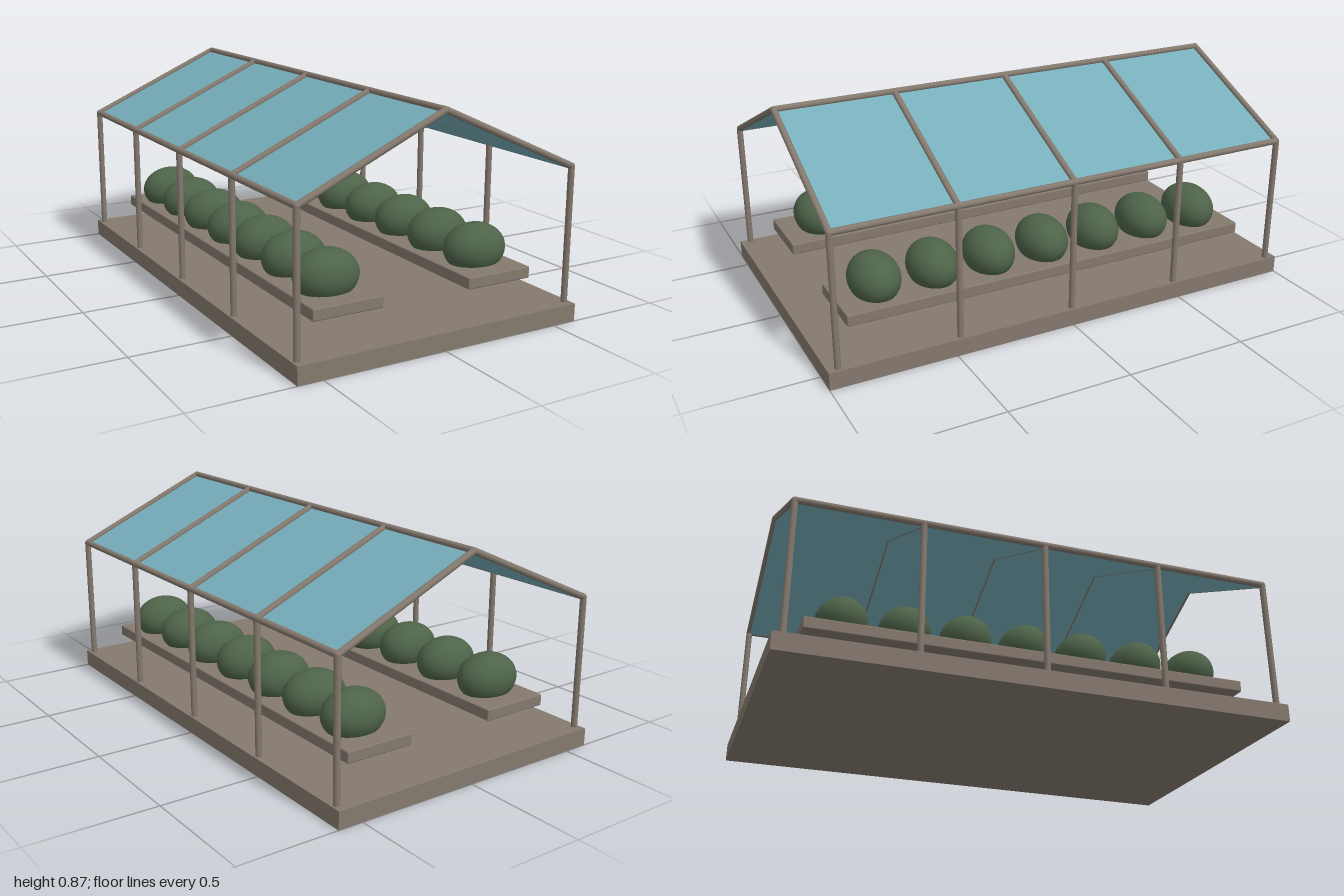
import * as THREE from 'three';
import { RoundedBoxGeometry } from 'three/addons/geometries/RoundedBoxGeometry.js';

const frameMat = new THREE.MeshStandardMaterial({ color: 0x84796e });
frameMat.name = 'weathered wood';
const glassMat = new THREE.MeshStandardMaterial({ color: 0x76aebb });
glassMat.name = 'blue glass';
const leafMat = new THREE.MeshStandardMaterial({ color: 0x4e6349 });
leafMat.name = 'leaf green';

const EAVE_X = 0.58, EAVE_Y = 0.6, RIDGE_Y = 0.86, BASE_H = 0.07;
const END_Z = 0.96, R = 0.0125;
const BAYS = [-0.96, -0.48, 0, 0.48, 0.96];

export function createModel() {
  const model = new THREE.Group();
  model.name = 'greenhouse';

  const add = (name, geometry, material, x = 0, y = 0, z = 0) => {
    const mesh = new THREE.Mesh(geometry, material);
    mesh.name = name;
    mesh.position.set(x, y, z);
    model.add(mesh);
    return mesh;
  };

  // Round bar between two points
  const bar = (name, a, b) => {
    const from = new THREE.Vector3(...a), to = new THREE.Vector3(...b);
    const dir = to.clone().sub(from);
    const mid = from.clone().add(to).multiplyScalar(0.5);
    const mesh = add(name, new THREE.CylinderGeometry(R, R, dir.length(), 12), frameMat, mid.x, mid.y, mid.z);
    mesh.quaternion.setFromUnitVectors(new THREE.Vector3(0, 1, 0), dir.normalize());
  };
  const joint = (x, y, z) => add('joint', new THREE.SphereGeometry(R, 12, 8), frameMat, x, y, z);

  // Floor slab and ridge
  add('base', new THREE.BoxGeometry(1.2, BASE_H, 2), frameMat, 0, BASE_H / 2, 0);
  bar('ridgeBeam', [0, RIDGE_Y, -END_Z], [0, RIDGE_Y, END_Z]);
  for (const z of BAYS) joint(0, RIDGE_Y, z);

  const rise = RIDGE_Y - EAVE_Y;
  const slope = Math.atan2(rise, EAVE_X);
  const run = Math.hypot(rise, EAVE_X);

  for (const side of [-1, 1]) {
    // Posts, rafters and eave beam
    for (const z of BAYS) {
      bar('post', [side * EAVE_X, BASE_H - 0.01, z], [side * EAVE_X, EAVE_Y, z]);
      bar('rafter', [side * EAVE_X, EAVE_Y, z], [0, RIDGE_Y, z]);
      joint(side * EAVE_X, EAVE_Y, z);
    }
    bar('eaveBeam', [side * EAVE_X, EAVE_Y, -END_Z], [side * EAVE_X, EAVE_Y, END_Z]);

    // Glass roof pane, set low in the rafters
    const drop = 0.0075;
    const pane = add('roofPane', new THREE.BoxGeometry(run - 0.008, 0.008, END_Z * 2), glassMat,
      side * (EAVE_X / 2 - drop * Math.sin(slope)), (EAVE_Y + RIDGE_Y) / 2 - drop * Math.cos(slope), 0);
    pane.rotation.z = -side * slope;

    // Planting bench with a row of shrubs
    add('bench', new RoundedBoxGeometry(0.286, 0.046, 1.76, 2, 0.005), frameMat, side * 0.33, 0.181, 0);
    for (let i = -3; i <= 3; i++) {
      const shrub = add('shrub', new THREE.SphereGeometry(1, 28, 18), leafMat, side * 0.33, 0.26, i * 0.24);
      shrub.scale.set(0.129, 0.098, 0.1);
    }
  }
  return model;
}
